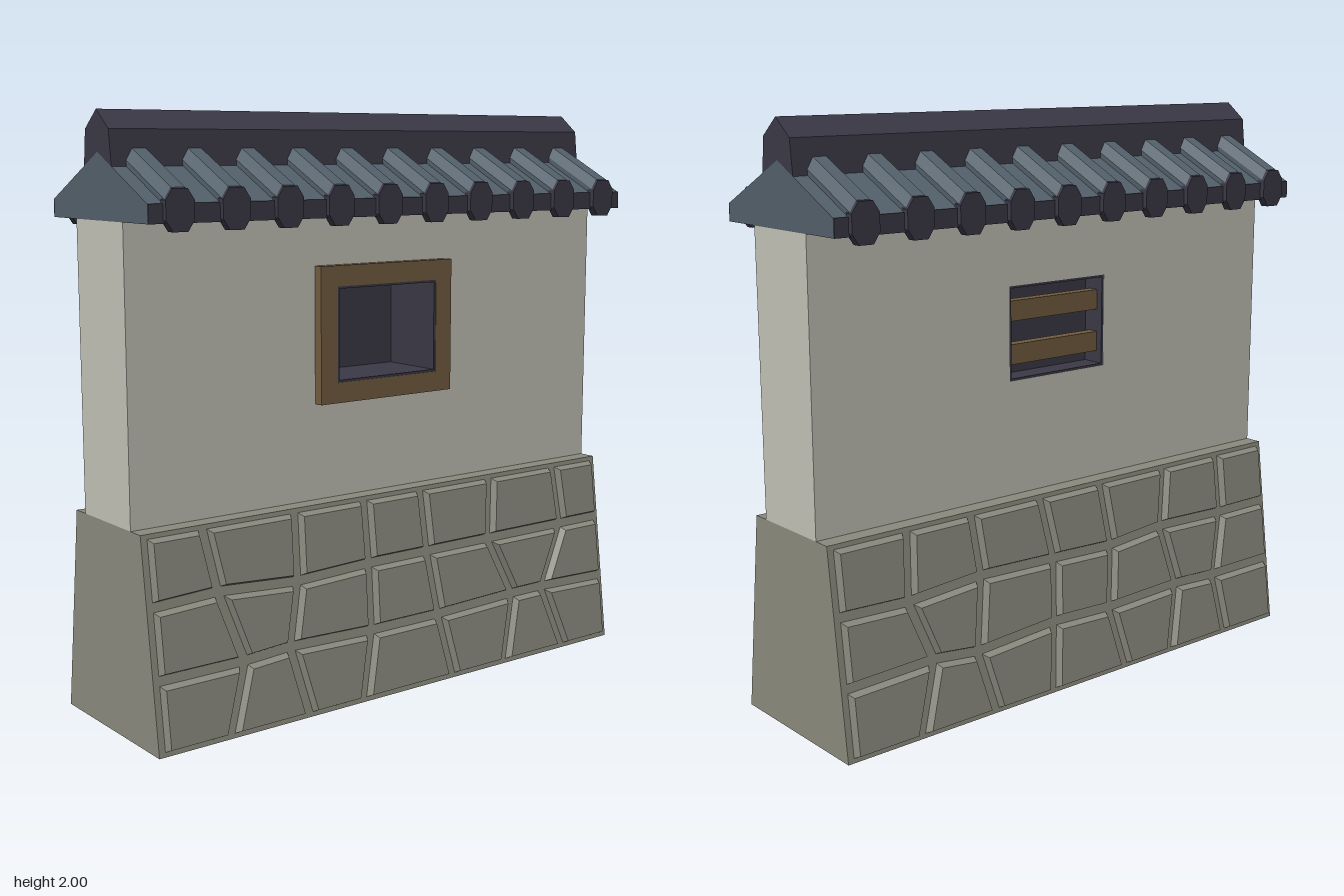
import * as THREE from 'three';
import { ConvexGeometry } from 'three/addons/geometries/ConvexGeometry.js';

const mat = (name, color, extra = {}) => {
  const m = new THREE.MeshStandardMaterial({ color, flatShading: true, ...extra });
  m.name = name;
  return m;
};

export function createModel() {
  const model = new THREE.Group();
  model.name = 'roofedWall';
  const plaster = mat('plaster', 0xc4c2b8);
  const mortar = mat('mortar', 0x8c8b7e);
  const stone = mat('stone', 0x8a897e);
  const tile = mat('blueTile', 0x53606b);
  const dark = mat('darkTile', 0x3b3946);
  const wood = mat('wood', 0x735d40);

  const add = (name, geometry, material, parent = model) => {
    const mesh = new THREE.Mesh(geometry, material);
    mesh.name = name;
    parent.add(mesh);
    return mesh;
  };
  const box = (name, x0, x1, y0, y1, z0, z1, material, parent) =>
    add(name, new THREE.BoxGeometry(x1 - x0, y1 - y0, z1 - z0)
      .translate((x0 + x1) / 2, (y0 + y1) / 2, (z0 + z1) / 2), material, parent);
  const poly = (pts) => new THREE.Shape(pts.map(([x, y]) => new THREE.Vector2(x, y)));
  const rect = (x0, x1, y0, y1) => [[x0, y0], [x1, y0], [x1, y1], [x0, y1]];
  const extrude = (shape, depth, z0) =>
    new THREE.ExtrudeGeometry(shape, { depth, bevelEnabled: false }).translate(0, 0, z0);
  // profile drawn across the wall, running its full length
  const along = (pts) => extrude(poly(pts), 2, -1).rotateY(Math.PI / 2);
  // plate with the window opening cut out
  const pierced = (outer, depth, z0) => {
    const s = poly(outer);
    s.holes.push(poly(rect(-0.215, 0.215, 1.1, 1.425)));
    return extrude(s, depth, z0);
  };

  // Battered base
  const faceZ = (y) => 0.3 - 0.127 * y;
  add('baseCore', along([[-0.3, 0], [0.3, 0], [faceZ(0.7), 0.7], [-faceZ(0.7), 0.7]]), mortar);

  // Shrink a counter-clockwise polygon by moving each edge inward
  const inset = (pts, d) => pts.map((p, i) => {
    const a = pts[(i + pts.length - 1) % pts.length], b = pts[(i + 1) % pts.length];
    const u = new THREE.Vector2(p[0] - a[0], p[1] - a[1]).normalize();
    const v = new THREE.Vector2(b[0] - p[0], b[1] - p[1]).normalize();
    const k = d / (u.x * v.y - u.y * v.x);
    return [p[0] + (v.x - u.x) * k, p[1] + (v.y - u.y) * k];
  });

  // Joint lines from the ground up, as [x, y] nodes between the ends
  const frontRows = [
    [[-0.74, 0], [-0.42, 0], [-0.2, 0], [0.21, 0], [0.45, 0], [0.76, 0]],
    [[-0.66, 0.24], [-0.48, 0.25], [-0.14, 0.24], [0.16, 0.24], [0.52, 0.25], [0.67, 0.25]],
    [[-0.74, 0.48], [-0.43, 0.46], [-0.13, 0.47], [0.13, 0.47], [0.42, 0.47], [0.79, 0.47]],
    [[-0.78, 0.7], [-0.42, 0.7], [-0.13, 0.7], [0.12, 0.7], [0.45, 0.7], [0.77, 0.7]],
  ];
  const backRows = [
    [[-0.72, 0], [-0.4, 0], [-0.15, 0], [0.2, 0], [0.42, 0], [0.72, 0]],
    [[-0.64, 0.25], [-0.46, 0.23], [-0.12, 0.25], [0.14, 0.24], [0.48, 0.25], [0.68, 0.24]],
    [[-0.72, 0.46], [-0.42, 0.48], [-0.1, 0.47], [0.17, 0.46], [0.42, 0.48], [0.74, 0.47]],
    [[-0.7, 0.7], [-0.44, 0.7], [-0.14, 0.7], [0.14, 0.7], [0.46, 0.7], [0.74, 0.7]],
  ];
  const edgeY = [0, 0.24, 0.47, 0.7];
  const stoneFace = (name, rows) => {
    const group = new THREE.Group();
    group.name = name;
    const full = rows.map((r, i) => [[-0.993, edgeY[i]], ...r, [0.993, edgeY[i]]]);
    for (let r = 0; r < 3; r++) {
      for (let c = 0; c < 7; c++) {
        const quad = [full[r][c], full[r][c + 1], full[r + 1][c + 1], full[r + 1][c]];
        const ring = (d, h) => inset(quad, d)
          .map(([x, y]) => new THREE.Vector3(x, y, faceZ(y) + h));
        add('stoneBlock', new ConvexGeometry([...ring(0.012, -0.008), ...ring(0.026, 0.023)]), stone, group);
      }
    }
    model.add(group);
    return group;
  };
  stoneFace('frontStones', frontRows);
  stoneFace('backStones', backRows).rotation.y = Math.PI;

  // Plaster wall and window
  add('plasterWall', pierced(rect(-1, 1, 0.7, 1.66), 0.3, -0.15), plaster);
  add('windowFrame', pierced(rect(-0.285, 0.285, 1.03, 1.495), 0.035, 0.15), wood);
  for (const s of [-1, 1]) {
    const x = s * 0.211, y = 1.2625 + s * 0.1585;
    box('windowLiningSide', x - 0.004, x + 0.004, 1.1, 1.425, -0.149, 0.183, dark);
    box('windowLiningEdge', -0.207, 0.207, y - 0.004, y + 0.004, -0.149, 0.183, dark);
  }
  box('windowBacking', -0.207, 0.207, 1.108, 1.417, -0.065, -0.057, dark);
  for (const y of [1.185, 1.335]) {
    box('windowSlat', -0.207, 0.207, y - 0.035, y + 0.035, -0.125, -0.085, wood);
  }

  // Roof body and ridge
  add('roofBody', along([[-0.3, 1.66], [0.3, 1.66], [0.3, 1.72], [0, 1.87], [-0.3, 1.72]]), tile);
  add('ridge', along([[-0.088, 1.826], [0, 1.87], [0.088, 1.826], [0.075, 1.94], [0, 2], [-0.075, 1.94]]), dark);

  // Tile ribs, round end caps and eave trim on both slopes
  const ribShape = poly([[-0.048, -0.03], [0.048, -0.03], [0.048, 0.018], [0.024, 0.052], [-0.024, 0.052], [-0.048, 0.018]]);
  const ribGeo = extrude(ribShape, 0.235, 0.075);
  const p = ribGeo.attributes.position;
  for (let i = 0; i < p.count; i++) p.setY(i, p.getY(i) + 1.87 - 0.5 * p.getZ(i));
  ribGeo.computeVertexNormals();
  const capGeo = extrude(poly([[-0.026, -0.065], [0.026, -0.065], [0.05, -0.03], [0.05, 0.03],
    [0.026, 0.065], [-0.026, 0.065], [-0.05, 0.03], [-0.05, -0.03]]), 0.03, 0.292).translate(0, 1.7, 0);
  for (const side of [0, 1]) {
    const slope = new THREE.Group();
    slope.name = side ? 'backSlope' : 'frontSlope';
    box('eaveTrim', -1, 1, 1.66, 1.72, 0.299, 0.305, dark, slope);
    for (let i = 0; i < 10; i++) {
      const x = -0.9 + 0.2 * i;
      add('tileRib', ribGeo, tile, slope).position.x = x;
      add('tileEndCap', capGeo, dark, slope).position.x = x;
    }
    slope.rotation.y = side * Math.PI;
    model.add(slope);
  }
  return model;
}
